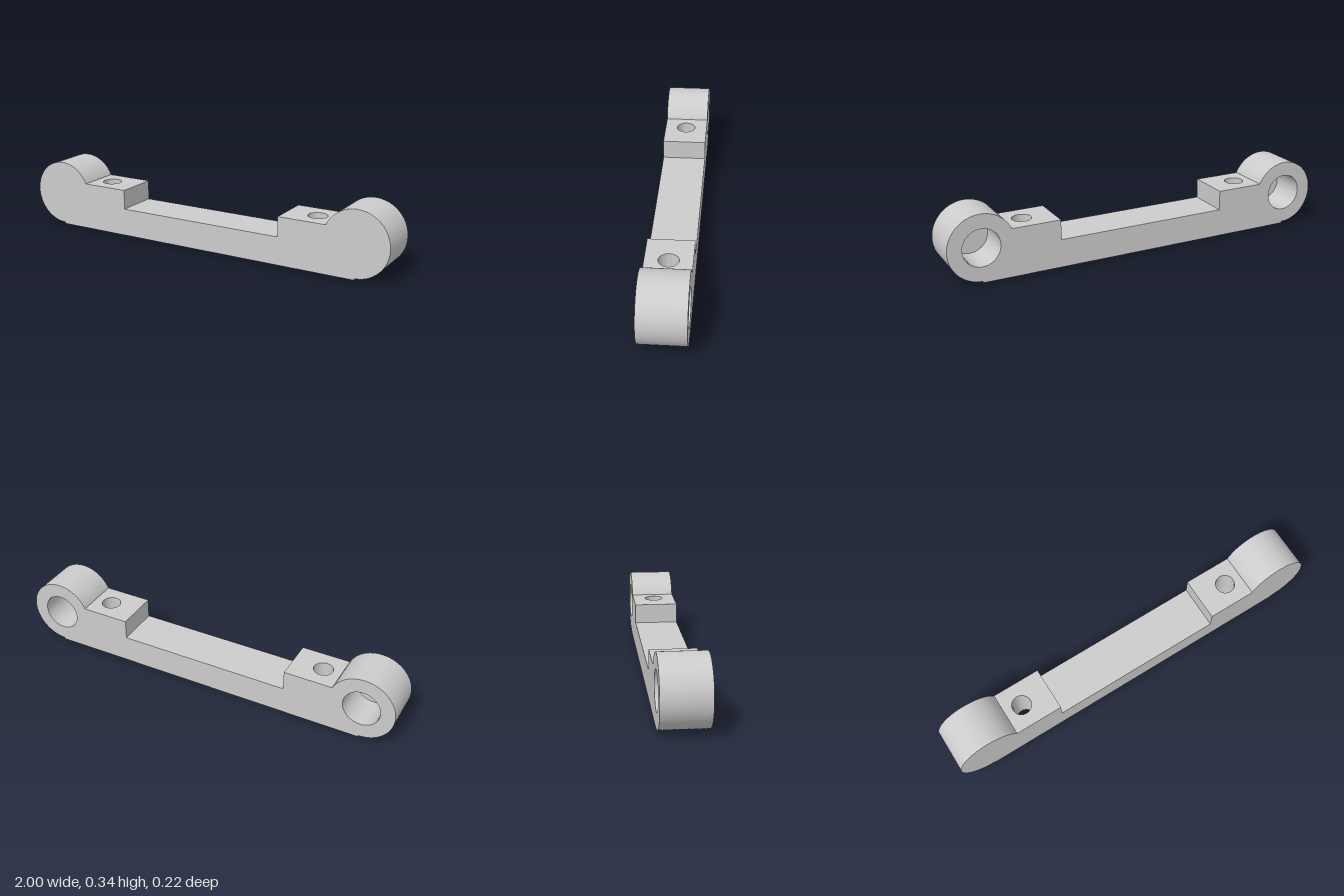
import * as THREE from 'three';
import { toCreasedNormals } from 'three/addons/utils/BufferGeometryUtils.js';

const HALF_Z = 0.1115;      // half the thickness of the bar
const R = 0.165;            // eye outer radius
const BORE = 0.093;         // blind bore radius
const CX = 0.835, CY = 0.173;
const PAD_IN = 0.44, PAD_TOP = 0.241, BAR_TOP = 0.141;
const JOIN = CX - Math.sqrt(R * R - (PAD_TOP - CY) ** 2); // pad meets eye
const FLOOR_Z = 0.07;       // bottom of the blind bore

function extrude(shape, depth) {
  const geo = new THREE.ExtrudeGeometry(shape, { depth, bevelEnabled: false, curveSegments: 48 });
  return toCreasedNormals(geo, 0.5);
}

function circleHole(x, y, r) {
  return new THREE.Path().absarc(x, y, r, 0, Math.PI * 2, true);
}

// Counter-clockwise outline, mirrored in x for side -1 with its order kept
function outline(points, side) {
  const pts = points.map(([x, y]) => new THREE.Vector2(side * x, y));
  return new THREE.Shape(side < 0 ? pts.reverse() : pts);
}

// Round end with a small foot step below it; side is +1 or -1
function eyeShape(side) {
  const pts = [[JOIN, 0], [CX, 0]];
  const start = -Math.PI / 2;
  const end = Math.PI - Math.asin((PAD_TOP - CY) / R);
  const n = 64;
  for (let i = 0; i <= n; i++) {
    const a = start + (end - start) * i / n;
    pts.push([CX + R * Math.cos(a), CY + R * Math.sin(a)]);
  }
  return outline(pts, side);
}

export function createModel() {
  const model = new THREE.Group();
  const grey = new THREE.MeshStandardMaterial({ color: 0xcccccc });
  grey.name = 'grey metal';

  function add(name, geo) {
    const mesh = new THREE.Mesh(geo, grey);
    mesh.name = name;
    model.add(mesh);
    return mesh;
  }

  // Thin middle bar
  add('middleBar', new THREE.BoxGeometry(PAD_IN * 2, BAR_TOP, HALF_Z * 2))
    .position.y = BAR_TOP / 2;

  for (const side of [1, -1]) {
    const label = side > 0 ? 'left' : 'right';

    // Raised pad with a vertical screw hole
    const pad = outline([
      [PAD_IN, -HALF_Z], [JOIN, -HALF_Z], [JOIN, HALF_Z], [PAD_IN, HALF_Z],
    ], side);
    pad.holes.push(circleHole(side * 0.595, 0, 0.048));
    add(label + 'Pad', extrude(pad, PAD_TOP).rotateX(-Math.PI / 2));

    // Eye bored from the back
    const ring = eyeShape(side);
    ring.holes.push(circleHole(side * CX, CY, BORE));
    add(label + 'Eye', extrude(ring, FLOOR_Z + HALF_Z)).position.z = -HALF_Z;

    // Solid front wall closing the bore
    add(label + 'EyeFrontWall', extrude(eyeShape(side), HALF_Z - FLOOR_Z)).position.z = FLOOR_Z;
  }
  return model;
}
